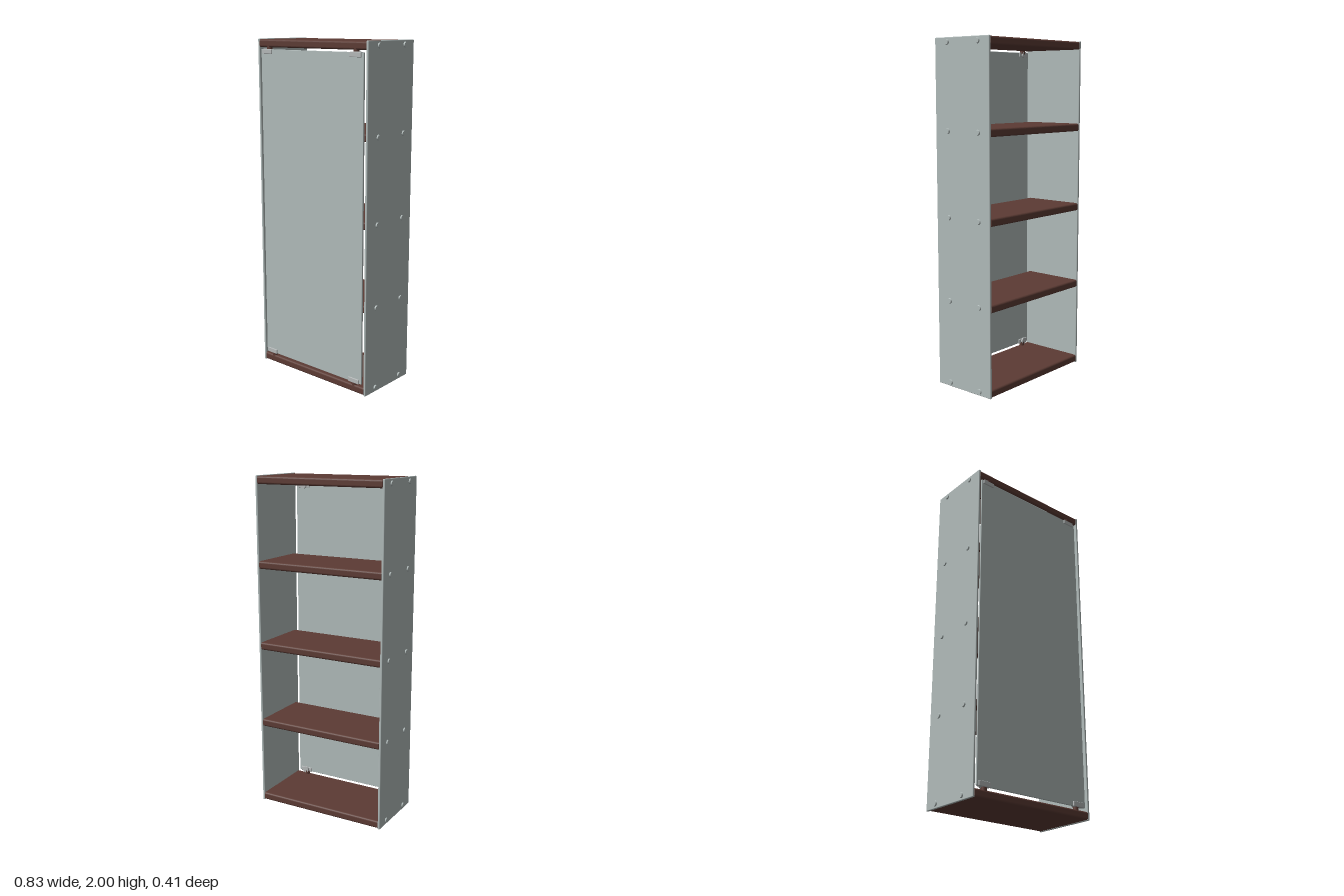
import * as THREE from 'three';
import { RoundedBoxGeometry } from 'three/addons/geometries/RoundedBoxGeometry.js';

const mat = (name, color) => Object.assign(new THREE.MeshStandardMaterial({ color }), { name });

export function createModel() {
  const wood = mat('dark wood', 0x5c3b34);
  const panel = mat('grey panel', 0xb0bab9);
  const metal = mat('light metal', 0xb4b8b8);
  const group = new THREE.Group();
  const BACK = -0.206, FRONT = 0.199;

  const add = (name, geometry, material, x, y, z) => {
    const mesh = new THREE.Mesh(geometry, material);
    mesh.name = name;
    mesh.position.set(x, y, z);
    group.add(mesh);
    return mesh;
  };

  // Board with rounded long edges, running from side to side
  const board = (name, y, front) => {
    const d = (front - BACK) / 2, h = 0.0225, r = 0.012, w = 0.792;
    const s = new THREE.Shape();
    s.moveTo(-d + r, -h);
    s.lineTo(d - r, -h);
    s.absarc(d - r, -h + r, r, -Math.PI / 2, 0);
    s.absarc(d - r, h - r, r, 0, Math.PI / 2);
    s.absarc(-d + r, h - r, r, Math.PI / 2, Math.PI);
    s.absarc(-d + r, -h + r, r, Math.PI, Math.PI * 1.5);
    const g = new THREE.ExtrudeGeometry(s, { depth: w, bevelEnabled: false, curveSegments: 5 });
    g.translate(0, 0, -w / 2).rotateY(Math.PI / 2);
    add(name, g, wood, 0, y, (front + BACK) / 2);
  };
  board('topBoard', 1.974, FRONT);
  board('bottomBoard', 0.026, FRONT);
  for (const y of [0.515, 1.0, 1.488]) board('shelf', y, 0.178);

  // Side panels with round-headed fixings
  const screwGeo = new THREE.CylinderGeometry(0.013, 0.016, 0.008, 20).rotateZ(-Math.PI / 2);
  for (const side of [-1, 1]) {
    add('sidePanel', new RoundedBoxGeometry(0.014, 2, FRONT - BACK, 2, 0.004), panel,
      side * 0.403, 1, (FRONT + BACK) / 2);
    for (const y of [0.026, 0.515, 1.0, 1.488, 1.974])
      for (const z of [-0.123, 0.105]) {
        const screw = add('screw', screwGeo, panel, side * 0.413, y, z);
        if (side < 0) screw.rotation.y = Math.PI;
      }
  }

  // Door panel set between the top and bottom boards
  add('door', new RoundedBoxGeometry(0.763, 1.875, 0.012, 2, 0.002), panel, -0.003, 1.0025, 0.191);

  // Corner clips and pivots holding the door
  const pinGeo = new THREE.CylinderGeometry(0.016, 0.016, 0.03, 16);
  const backGeo = new THREE.CylinderGeometry(0.02, 0.02, 0.012, 20).rotateX(Math.PI / 2);
  for (const x of [-0.335, 0.325])
    for (const top of [false, true]) {
      const y = top ? 1.928 : 0.077;
      add('doorClip', new RoundedBoxGeometry(0.077, 0.028, 0.026, 2, 0.003), metal, x, y, 0.191);
      add('clipBack', backGeo, metal, x, y, 0.174);
      add('pivotPin', pinGeo, wood, x * 0.98, top ? 1.946 : 0.057, 0.183);
    }
  return group;
}
